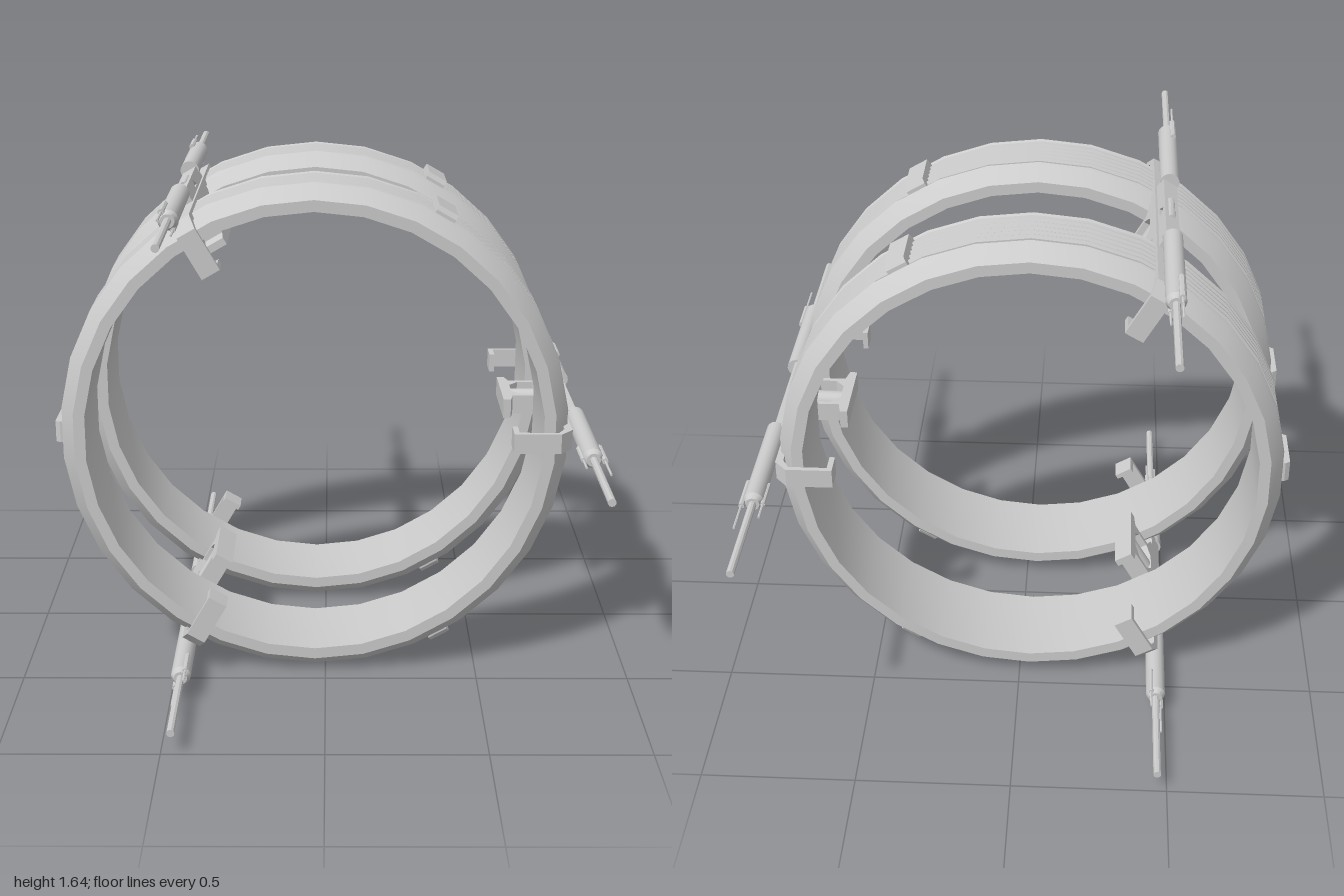
import * as THREE from 'three';
import { toCreasedNormals } from 'three/addons/utils/BufferGeometryUtils.js';

const mat = new THREE.MeshStandardMaterial({ color: 0xcccccc, side: THREE.DoubleSide });

function add(parent, name, geo, x = 0, y = 0, z = 0) {
  const m = new THREE.Mesh(geo, mat);
  m.name = name;
  m.position.set(x, y, z);
  parent.add(m);
  return m;
}

// Finned ring: lathe profile with chamfered rims and five cooling fins
function ringGeometry() {
  const p = [[0.738, -0.157], [0.775, -0.157], [0.815, -0.105], [0.82, -0.096], [0.815, -0.088], [0.785, -0.07]];
  for (let i = -2; i <= 2; i++) {
    const c = i * 0.03;
    p.push([0.785, c - 0.009], [0.812, c - 0.009], [0.82, c - 0.004], [0.82, c + 0.004], [0.812, c + 0.009], [0.785, c + 0.009]);
  }
  p.push([0.785, 0.07], [0.815, 0.088], [0.82, 0.096], [0.815, 0.105], [0.775, 0.157], [0.738, 0.157], [0.738, -0.157]);
  const g = new THREE.LatheGeometry(p.map(([r, y]) => new THREE.Vector2(r, y)), 30);
  g.rotateX(Math.PI / 2);
  return toCreasedNormals(g, 0.4);
}

// Extrude a (z, radius) outline along the tangent, centred on the strut
function extrudeSide(points, width, hole) {
  const v = (a) => a.map(([z, r]) => new THREE.Vector2(z, r));
  const s = new THREE.Shape(v(points));
  if (hole) s.holes.push(new THREE.Path(v(hole)));
  const g = new THREE.ExtrudeGeometry(s, { depth: width, bevelEnabled: false });
  g.translate(0, 0, -width / 2);
  g.applyMatrix4(new THREE.Matrix4().makeBasis(
    new THREE.Vector3(0, 0, 1), new THREE.Vector3(1, 0, 0), new THREE.Vector3(0, 1, 0)));
  return g;
}

// Cylinder lying along z, from z0 to z1
function rod(parent, name, radius, z0, z1, x, sides = 12, endRadius = radius) {
  const g = new THREE.CylinderGeometry(endRadius, radius, Math.abs(z1 - z0), sides);
  g.rotateX(z1 > z0 ? Math.PI / 2 : -Math.PI / 2);
  return add(parent, name, toCreasedNormals(g, 0.6), x, 0, (z0 + z1) / 2);
}

// One strut in local axes: x radial, y tangential, z along the axis
function strut() {
  const g = new THREE.Group();
  g.name = 'strut';
  const W = 0.065;

  // Long clamp beam with a hook round each ring
  const half = [[0.445, 0.825], [0.49, 0.785], [0.49, 0.635], [0.41, 0.635], [0.41, 0.653],
    [0.473, 0.653], [0.473, 0.778], [0.437, 0.8]];
  const mirrored = half.map(([z, r]) => [-z, r]).reverse();
  add(g, 'clampBeam', extrudeSide([...half, ...mirrored], W));

  // Central bracket with an octagonal window
  const outline = [[-0.13, 0.805], [-0.13, 0.79], [-0.085, 0.765], [-0.085, 0.67], [-0.13, 0.66], [-0.13, 0.635],
    [0.13, 0.635], [0.13, 0.66], [0.085, 0.67], [0.085, 0.765], [0.13, 0.79], [0.13, 0.805]];
  const window8 = [[-0.035, 0.67], [-0.068, 0.7], [-0.068, 0.755], [-0.035, 0.788],
    [0.035, 0.788], [0.068, 0.755], [0.068, 0.7], [0.035, 0.67]];
  add(g, 'centreBracket', extrudeSide(outline, W, window8));
  const pin = new THREE.CylinderGeometry(0.03, 0.03, 0.13, 16);
  pin.rotateZ(Math.PI / 2);
  add(g, 'bracketPin', toCreasedNormals(pin, 0.6), 0.73);

  // Mounting rail between the two tubes, with a recessed roller
  add(g, 'rail', extrudeSide([[-0.22, 0.82], [0.22, 0.82], [0.22, 0.85], [0.2, 0.868], [-0.2, 0.868], [-0.22, 0.85]],
    0.05, [[-0.03, 0.835], [0.03, 0.835], [0, 0.858]]));
  rod(g, 'railRoller', 0.014, -0.065, 0.065, 0.862);

  // Tubes, antennas and thin probes at both ends
  for (const s of [-1, 1]) {
    rod(g, 'tube', 0.032, s * 0.205, s * 0.62, 0.865, 16);
    rod(g, 'tubeTip', 0.032, s * 0.62, s * 0.64, 0.865, 16, 0.022);
    rod(g, 'longRod', 0.0125, s * 0.6, s, 0.865, 10);
    rod(g, 'outerProbeSleeve', 0.01, s * 0.52, s * 0.65, 0.899, 8);
    rod(g, 'outerProbe', 0.004, s * 0.6, s * 0.77, 0.899, 6);
    rod(g, 'innerProbeSleeve', 0.008, s * 0.53, s * 0.64, 0.833, 8);
    rod(g, 'innerProbe', 0.004, s * 0.6, s * 0.71, 0.833, 6);
  }
  return g;
}

export function createModel() {
  const model = new THREE.Group();
  const body = new THREE.Group();
  body.name = 'ringAssembly';
  body.position.set(-0.035, 0.822, 0);
  model.add(body);

  // Two finned rings
  const ringGeo = ringGeometry();
  for (const s of [-1, 1]) add(body, 'finnedRing', ringGeo, 0, 0, s * 0.288);

  // Tapered clips across the fins, between the struts
  const clipGeo = extrudeSide([[-0.088, 0.77], [0.088, 0.77], [0.088, 0.825], [0.078, 0.84], [-0.078, 0.84], [-0.088, 0.825]], 0.07);
  for (let i = 0; i < 3; i++) {
    const st = strut();
    st.rotation.z = i * Math.PI * 2 / 3;
    body.add(st);
    const clips = new THREE.Group();
    clips.name = 'finClips';
    clips.rotation.z = Math.PI / 3 + i * Math.PI * 2 / 3;
    for (const s of [-1, 1]) add(clips, 'finClip', clipGeo, 0, 0, s * 0.288);
    body.add(clips);
  }
  return model;
}
